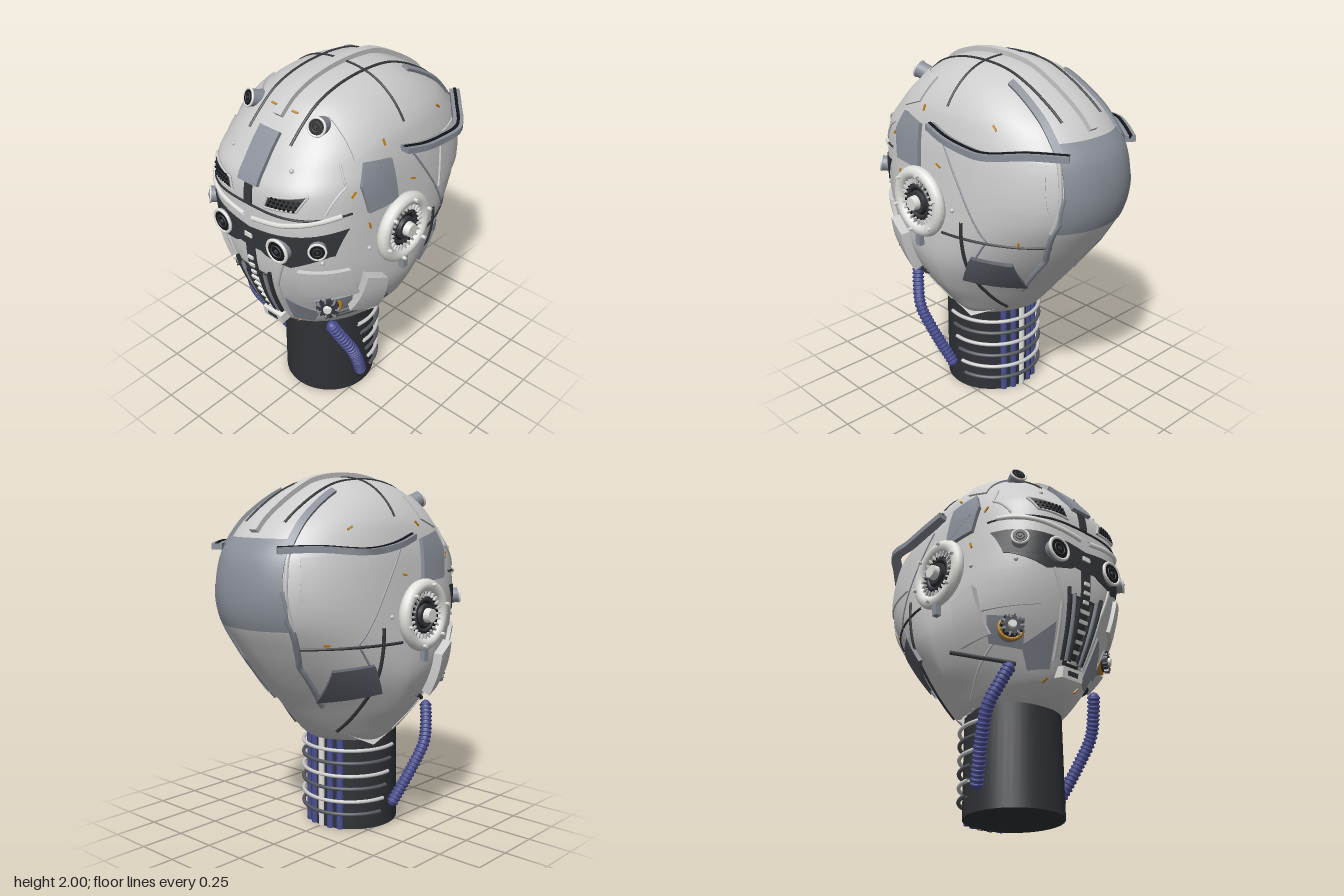
import * as THREE from 'three';
import { toCreasedNormals } from 'three/addons/utils/BufferGeometryUtils.js';

const LIGHT = 0xcccccc, WHITE = 0xe2e2de, DARK = 0x34373b, BLACK = 0x141518, STEEL = 0x8b909a, BLUE = 0x4a4f92, GOLD = 0xc0841c;
const V = (x, y, z) => new THREE.Vector3(x, y, z);
const mats = {};
const mat = c => mats[c] ??= new THREE.MeshStandardMaterial({ color: c, side: THREE.DoubleSide });

// Shell sections: y, half width, front z, back z, squareness of the front and of the back
const ROWS = [
  [.53, .26, .38, -.14, 1.9, 1.6], [.56, .29, .45, -.19, 1.9, 1.5], [.62, .335, .53, -.25, 1.9, 1.5], [.75, .43, .6, -.36, 1.9, 1.5],
  [.92, .5, .67, -.5, 2.1, 1.65], [1.08, .51, .71, -.61, 2.4, 1.9], [1.25, .495, .72, -.7, 2.8, 2.2], [1.4, .48, .72, -.72, 3, 2.35],
  [1.57, .46, .7, -.69, 3, 2.35], [1.66, .44, .64, -.63, 2.8, 2.35], [1.75, .41, .57, -.55, 2.6, 2.3], [1.84, .35, .48, -.42, 2.4, 2.3],
  [1.91, .27, .39, -.29, 2.3, 2.3], [1.95, .19, .28, -.19, 2.2, 2.2], [1.97, .1, .16, -.07, 2, 2], [1.975, .01, .07, .05, 2, 2]];
const ZC = .06, LEVELS = 91;
const spline = k => new THREE.CatmullRomCurve3(ROWS.map(r => V(r[0], r[k], 0)), false, 'centripetal');
const channels = [1, 2, 3, 4, 5].map(spline);
const levels = Array.from({ length: LEVELS }, (_, i) => [channels[0].getPoint(i / (LEVELS - 1)).x, ...channels.map(c => c.getPoint(i / (LEVELS - 1)).y)]);

// Value of the shell field: negative inside, positive outside
function field(p) {
  if (p.y >= levels[LEVELS - 1][0] || p.y <= levels[0][0]) return 5;
  let i = 1;
  while (levels[i][0] < p.y && i < LEVELS - 1) i++;
  const a = levels[i - 1], b = levels[i], k = (p.y - a[0]) / (b[0] - a[0] || 1);
  const [, w, zf, zb, nf, nb] = a.map((v, j) => v + (b[j] - v) * k);
  const dz = p.z - ZC, e = dz > 0 ? nf : nb, d = dz > 0 ? zf - ZC : ZC - zb;
  return Math.abs(p.x / w) ** e + Math.abs(dz / d) ** e - 1;
}

// Project 2D coordinates onto the shell: f/b = (x, y), s = (z, y), t = (x, z)
function hit(view, a, b, s = 1) {
  const [o, d] = { f: [V(a * s, b, .8), V(0, 0, -1)], b: [V(a * s, b, -.8), V(0, 0, 1)],
    s: [V(s * .7, b, a), V(-s, 0, 0)], t: [V(a * s, 2.05, b), V(0, -1, 0)] }[view];
  let best = o.clone(), low = Infinity;
  for (let i = 0; i < 110; i++) {
    const p = o.clone().addScaledVector(d, i * .01), f = field(p);
    if (f < low) { low = f; best = p; }
    if (f < 0) {
      const q = p.clone().addScaledVector(d, -.01);
      for (let k = 0; k < 9; k++) { const m = p.clone().lerp(q, .5); (field(m) < 0 ? p : q).copy(m); }
      best = p; break;
    }
  }
  const h = .004, g = (x, y, z) => field(best.clone().add(V(x, y, z))) - field(best.clone().sub(V(x, y, z)));
  const n = best.y > 1.955 ? V(0, 1, 0) : V(g(h, 0, 0), g(0, h, 0), g(0, 0, h)).normalize();
  return { p: best, n };
}

export function createModel() {
  const model = new THREE.Group();
  const add = (name, geo, color, parent = model) => {
    const m = new THREE.Mesh(geo, mat(color));
    m.name = name; parent.add(m); return m;
  };
  const grid = (pts, idx) => new THREE.BufferGeometry().setIndex(idx).setAttribute('position', new THREE.Float32BufferAttribute(pts.flatMap(p => p.toArray()), 3));
  const both = fn => [1, -1].forEach(fn);

  // Raised plate that follows the shell, from four corners
  function plate(name, view, c, t, color, s = 1, nu = 8, nv = 8) {
    const pts = [], idx = [], W = nu + 3;
    let out;
    for (let j = -1; j <= nv + 1; j++) for (let i = -1; i <= nu + 1; i++) {
      const u = Math.min(Math.max(i / nu, 0), 1), v = Math.min(Math.max(j / nv, 0), 1);
      const at = k => (c[0][k] * (1 - u) + c[1][k] * u) * (1 - v) + (c[3][k] * (1 - u) + c[2][k] * u) * v;
      const r = hit(view, at(0), at(1), s), rim = i < 0 || j < 0 || i > nu || j > nv;
      pts.push(r.p.addScaledVector(r.n, rim ? -.012 : t));
      if (i === nu >> 1 && j === nv >> 1) out = r.n;
    }
    const m = ((nv >> 1) + 1) * W + (nu >> 1) + 1;
    const flip = pts[m + 1].clone().sub(pts[m]).cross(pts[m + W].clone().sub(pts[m])).dot(out) < 0;
    for (let j = 0; j < nv + 2; j++) for (let i = 0; i < nu + 2; i++) {
      const a = j * W + i, b = a + 1, d = a + W, e = d + 1;
      idx.push(...(flip ? [a, d, b, b, d, e] : [a, b, d, b, e, d]));
    }
    return add(name, toCreasedNormals(grid(pts, idx), .7), color);
  }
  // Rectangular bar swept along a path, kept upright; closed at both ends
  function bar(name, path, w, h, color) {
    const curve = new THREE.CatmullRomCurve3(path, false, 'centripetal'), pts = [], idx = [], n = 24;
    for (let i = -1; i <= n + 1; i++) {
      const t = Math.min(Math.max(i / n, 0), 1), p = curve.getPoint(t), k = i < 0 || i > n ? 0 : .5;
      const side = curve.getTangent(t).cross(V(0, 1, 0)).normalize();
      for (const [a, b] of [[-1, -1], [1, -1], [1, 1], [-1, 1]])
        pts.push(p.clone().addScaledVector(side, a * w * k).add(V(0, b * h * k, 0)));
    }
    for (let i = 0; i < n + 2; i++) for (let j = 0; j < 4; j++) {
      const a = i * 4 + j, b = i * 4 + (j + 1) % 4;
      idx.push(a, b, a + 4, b, b + 4, a + 4);
    }
    add(name, toCreasedNormals(grid(pts, idx), .6), color);
  }
  // Rod or seam lying on the shell
  function wire(name, view, path, r, color, s = 1, lift = 0) {
    const pts = [];
    path.forEach((a, i) => {
      const b = path[i + 1] ?? a, n = i < path.length - 1 ? 6 : 1;
      for (let k = 0; k < n; k++) {
        const q = hit(view, a[0] + (b[0] - a[0]) * k / n, a[1] + (b[1] - a[1]) * k / n, s);
        pts.push(q.p.addScaledVector(q.n, lift));
      }
    });
    add(name, new THREE.TubeGeometry(new THREE.CatmullRomCurve3(pts), pts.length * 3, r, 6), color);
  }
  // Group standing on the shell with +z pointing outwards
  function mount(name, view, a, b, s, dir, lift = 0) {
    const g = new THREE.Group(), r = hit(view, a, b, s);
    g.name = name;
    g.position.copy(r.p).addScaledVector(r.n, lift);
    g.quaternion.setFromUnitVectors(V(0, 0, 1), dir ? dir.clone().normalize() : r.n);
    model.add(g); return g;
  }
  const disc = (name, g, r1, r2, h, z, color, sides = 24) => add(name, new THREE.CylinderGeometry(r2, r1, h, sides).rotateX(Math.PI / 2).translate(0, 0, z), color, g);
  const ring = (name, g, R, r, z, color) => add(name, new THREE.TorusGeometry(R, r, 10, 32).translate(0, 0, z), color, g);
  function lens(name, view, a, b, s, dir, r, h) {
    const g = mount(name, view, a, b, s, dir);
    disc('lensBarrel', g, r * .9, r * .9, h, 0, STEEL);
    ring('lensRim', g, r * .88, r * .13, h / 2, WHITE);
    disc('lensGlass', g, r * .8, r * .75, .006, h / 2 + .002, BLACK);
    ring('lensInnerRing', g, r * .45, r * .06, h / 2 + .005, DARK);
    disc('lensPupil', g, r * .2, r * .15, .01, h / 2 + .006, DARK, 12);
  }

  // Head shell
  const shellPts = [], shellIdx = [], N = 72;
  levels.forEach(([y, w, zf, zb, nf, nb], i) => {
    for (let j = 0; j < N; j++) {
      const t = j / N * Math.PI * 2, c = Math.cos(t), q = Math.sin(t), e = 2 / (q > 0 ? nf : nb);
      shellPts.push(V(w * Math.sign(c) * Math.abs(c) ** e, y, ZC + (q > 0 ? zf - ZC : ZC - zb) * Math.sign(q) * Math.abs(q) ** e));
      const a = i * N + j, b = i * N + (j + 1) % N;
      if (i < LEVELS - 1) shellIdx.push(a, a + N, b, b, a + N, b + N);
    }
  });
  const shell = grid(shellPts, shellIdx);
  shell.computeVertexNormals();
  add('headShell', shell, LIGHT);

  // Crown ridge, seams and centre plates
  plate('crownRidge', 't', [[-.025, -.6], [.025, -.6], [.025, .48], [-.025, .48]], .026, LIGHT, 1, 2, 40);
  wire('crownCrossSeam', 't', [[-.4, .02], [-.2, .02], [0, .02], [.2, .02], [.4, .02]], .007, DARK);
  plate('foreheadPlate', 'f', [[-.065, 1.57], [.065, 1.57], [.065, 1.79], [-.065, 1.79]], .022, STEEL);
  plate('foreheadSlot', 'f', [[-.025, 1.46], [.025, 1.46], [.025, 1.57], [-.025, 1.57]], .008, DARK);
  plate('backPlate', 'b', [[-.23, 1.665], [.23, 1.665], [.25, 1.22], [-.25, 1.22]], .012, STEEL, 1, 16, 16);
  wire('browSeam', 'f', [[-.44, 1.455], [-.2, 1.455], [.2, 1.455], [.44, 1.455]], .007, DARK);

  // Nose column, mouth grille and chin
  plate('noseColumn', 'f', [[-.03, 1.02], [.03, 1.02], [.03, 1.3], [-.03, 1.3]], .008, DARK);
  plate('mouthGrille', 'f', [[-.05, .7], [.05, .7], [.11, 1.05], [-.11, 1.05]], .006, DARK);
  add('noseBlock', new THREE.BoxGeometry(.05, .025, .03), WHITE, mount('noseMount', 'f', 0, 1.275, 1, V(0, 0, 1)));
  for (let i = 0; i < 9; i++)
    add('mouthRung', new THREE.BoxGeometry(.045 + (i > 5 ? -.01 : .02), .018, .025), WHITE, mount('rungMount', 'f', 0, .73 + i * .05, 1, null, .005));
  const chin = mount('chin', 'f', 0, .67, 1, V(0, -.2, 1), .005);
  add('chinBlock', new THREE.BoxGeometry(.14, .06, .07), WHITE, chin);
  add('chinSlot', new THREE.BoxGeometry(.07, .025, .075), DARK, chin);

  both(s => {
    // Crown seams and bars
    wire('crownSeam', 't', [[.14, -.53], [.14, -.2], [.14, .2], [.14, .55]], .008, DARK, s);
    plate('crownBar', 't', [[.21, -.6], [.245, -.6], [.215, -.23], [.18, -.23]], .016, STEEL, s, 2, 14);
    wire('backRib', 's', [[-.65, 1.42], [-.63, 1.28], [-.5, 1.02], [-.3, .77]], .017, STEEL, s);
    wire('backPlateEdge', 'b', [[.23, 1.68], [.25, 1.5], [.265, 1.22]], .012, LIGHT, s);

    // Temple rail bending round the back
    const rail = [[.465, 1.665, .09], [.48, 1.63, -.05], [.48, 1.61, -.2], [.475, 1.61, -.34], [.35, 1.625, -.51], [.225, 1.62, -.665]].map(p => V(p[0] * s, p[1], p[2]));
    bar('templeRail', rail, .055, .032, STEEL);
    bar('templeRailGroove', rail.map(p => p.clone().add(V(0, .012, 0))), .016, .018, BLACK);

    // Jaw corner hanging beside the neck
    const jaw = grid([hit('s', .24, .585, s).p, V(.262 * s, .5, .03), hit('s', -.13, .585, s).p], s > 0 ? [0, 1, 2] : [0, 2, 1]);
    jaw.computeVertexNormals();
    add('jawCorner', jaw, LIGHT);

    // Brow, grilles and visor
    wire('browBar', 'f', [[.03, 1.385], [.2, 1.41], [.42, 1.46]], .014, WHITE, s, .003);
    const vent = [[.11, 1.485], [.28, 1.505], [.315, 1.58], [.13, 1.545]];
    plate('browVent', 'f', vent, .008, DARK, s);
    wire('browVentFrame', 'f', [...vent, vent[0]], .007, LIGHT, s, .005);
    for (let i = 0; i < 7; i++) for (let j = 0; j < 3; j++)
      disc('ventHole', mount('ventHoleMount', 'f', .142 + i * .021 + j * .008, 1.507 + j * .02, s, null, .01), .007, .007, .008, 0, BLACK, 8);
    plate('visor', 'f', [[0, 1.2], [.41, 1.24], [.44, 1.38], [0, 1.32]], .006, DARK, s, 12, 6);
    plate('visorLower', 'f', [[.1, 1.19], [.24, 1.16], [.41, 1.245], [.02, 1.24]], .005, DARK, s);
    lens('eyeLens', 'f', .195, 1.265, s, V(.05 * s, 0, 1), .07, .05);
    lens('sideLens', 'f', .36, 1.3, s, V(.7 * s, .1, .8), .048, .08);
    lens('foreheadLens', 'f', .215, 1.84, s, V(.3 * s, .35, .9), .05, .1);

    // Mouth bars, cheek plates and side plates
    for (let i = 0; i < 3; i++)
      wire('mouthBar', 'f', [[.045 + i * .035, 1.03 + i * .025], [.025 + i * .02, .73]], .011, i % 2 ? STEEL : DARK, s, .012);
    wire('muzzleEdge', 'f', [[.2, 1.17], [.14, 1.0], [.1, .72]], .009, LIGHT, s);
    plate('muzzlePlate', 'f', [[.11, .68], [.2, .67], [.26, .78], [.15, .9]], .012, STEEL, s);
    plate('cheekPlate', 'f', [[.24, .97], [.44, .95], [.44, 1.14], [.27, 1.15]], .022, LIGHT, s);
    plate('jawPlate', 's', [[.41, .84], [.25, .8], [.27, 1.02], [.39, 1.08]], .05, LIGHT, s);
    plate('lowerCheekPlate', 's', [[.5, .76], [.38, .8], [.42, .93], [.56, .9]], .01, STEEL, s);
    plate('templePlate', 's', [[.39, 1.58], [.34, 1.68], [.18, 1.65], [.16, 1.42]], .022, STEEL, s);
    plate('templePlateLower', 's', [[.39, 1.58], [.2, 1.5], [.16, 1.42], [.36, 1.43]], .021, STEEL, s);
    plate('rearPanel', 's', [[-.25, 1.6], [-.57, 1.58], [-.6, 1.34], [-.21, 1.31]], .01, LIGHT, s);
    plate('napePlate', 's', [[-.2, 1.02], [-.38, 1.0], [-.34, .81], [-.11, .86]], .022, 0x5a5e66, s);
    plate('foreheadSidePanel', 's', [[.37, 1.87], [.2, 1.87], [.24, 1.75], [.38, 1.7]], .01, LIGHT, s);

    // Side seams and rods
    wire('rearSeam', 's', [[-.16, .6], [-.16, .9], [-.16, 1.21]], .011, DARK, s);
    wire('sideSeam', 's', [[-.03, 1.12], [-.3, 1.12], [-.56, 1.12]], .008, DARK, s);
    wire('diagonalSeam', 's', [[0, 1.6], [-.15, 1.38], [-.3, 1.13], [-.21, 1.0]], .006, STEEL, s);
    wire('jawRod', 's', [[.45, .7], [.3, .75], [.17, .8]], .012, DARK, s, .006);
    wire('jawSeam', 's', [[.4, .8], [.28, .7], [.15, .58]], .006, LIGHT, s);
    wire('foreheadEdge', 'f', [[.38, 1.48], [.41, 1.6], [.36, 1.7]], .007, LIGHT, s);

    // Small bolts and amber clips
    for (const [v, a, b] of [['f', .2, 1.67], ['f', .37, 1.2], ['s', -.1, 1.26], ['s', .36, 1.22]])
      add('bolt', new THREE.SphereGeometry(.012, 10, 8), LIGHT, mount('boltMount', v, a, b, s));
    [['f', .07, 1.87], ['f', .11, .63], ['s', .19, 1.73], ['s', -.3, 1.72], ['s', .43, 1.55], ['s', .35, 1.35], ['s', .02, 1.47], ['s', -.45, 1.14]].forEach(([v, a, b], i) => {
      add('amberClip', new THREE.BoxGeometry(.035, .01, .012).rotateZ(i), GOLD, mount('clipMount', v, a, b, s));
    });

    // Respirator canister
    const can = mount('respirator', 'f', .325, .85, s, V(.55 * s, -.05, .85), -.02);
    disc('canisterBase', can, .07, .07, .05, 0, STEEL);
    ring('canisterRing', can, .06, .011, .025, GOLD);
    disc('canisterBody', can, .055, .05, .05, .045, DARK);
    disc('canisterCap', can, .025, .02, .02, .075, WHITE);
    for (let i = 0; i < 14; i++)
      add('canisterTooth', new THREE.BoxGeometry(.022, .009, .025).translate(.05, 0, .06).rotateZ(i / 14 * Math.PI * 2), i % 2 ? DARK : STEEL, can);

    // Corrugated hose
    const curve = new THREE.CatmullRomCurve3([[.305, .66, .455], [.335, .58, .42], [.365, .47, .365], [.34, .33, .29], [.28, .13, .185]].map(p => V(p[0] * s, p[1], p[2])));
    add('hose', new THREE.TubeGeometry(curve, 40, .029, 12), BLUE);
    for (let i = 0; i <= 26; i++) {
      const rib = add('hoseRib', new THREE.TorusGeometry(.028, .008, 6, 16), BLUE);
      rib.position.copy(curve.getPointAt(i / 26));
      rib.quaternion.setFromUnitVectors(V(0, 0, 1), curve.getTangentAt(i / 26));
    }
    for (const t of [0, 1]) add('hoseEnd', new THREE.SphereGeometry(.03, 12, 8), BLUE).position.copy(curve.getPointAt(t));

    // Ear disc
    const ear = new THREE.Group();
    ear.name = 'ear';
    ear.position.set(.5 * s, 1.25, .135);
    ear.rotation.y = s * Math.PI / 2;
    model.add(ear);
    disc('earBase', ear, .17, .17, .06, -.015, STEEL, 36);
    ring('earRing', ear, .16, .036, .015, WHITE);
    disc('earFace', ear, .135, .135, .02, .01, BLACK, 36);
    ring('earInnerRing', ear, .085, .012, .02, DARK);
    disc('earHub', ear, .065, .06, .03, .025, DARK);
    disc('earKnob', ear, .042, .036, .05, .05, WHITE);
    for (let i = 0; i < 24; i++)
      add('earTooth', new THREE.BoxGeometry(.035, .009, .02).translate(.118, 0, .026).rotateZ(i / 24 * Math.PI * 2), LIGHT, ear);
    for (let i = 0; i < 6; i++)
      add('earPin', new THREE.CylinderGeometry(.01, .01, .03, 8).rotateX(Math.PI / 2).translate(.165, 0, .055).rotateZ(i / 6 * Math.PI * 2 + .3), WHITE, ear);
    add('earTab', new THREE.BoxGeometry(.035, .07, .05).translate(0, -.215, .015), STEEL, ear);
  });

  // Neck with rear cables and ribs
  add('neck', new THREE.CylinderGeometry(.26, .265, .58, 48).translate(0, .29, .145), 0x2f3136);
  for (let i = 0; i < 5; i++) {
    const a = (i - 2) * .23;
    add('neckCable', new THREE.CylinderGeometry(.02, .02, .56, 12).translate(Math.sin(a) * .26, .28, .145 - Math.cos(a) * .26), i === 2 ? WHITE : BLUE);
  }
  for (let i = 0; i < 6; i++) {
    const arc = Math.PI + .5 - i * .16;
    add('neckRib', new THREE.TorusGeometry(.272, .011, 8, 40, arc).rotateZ(Math.PI / 2 - arc / 2).rotateX(-Math.PI / 2).translate(0, .47 - i * .075, .125), i % 2 ? 0x55585e : LIGHT);
  }
  return model;
}
